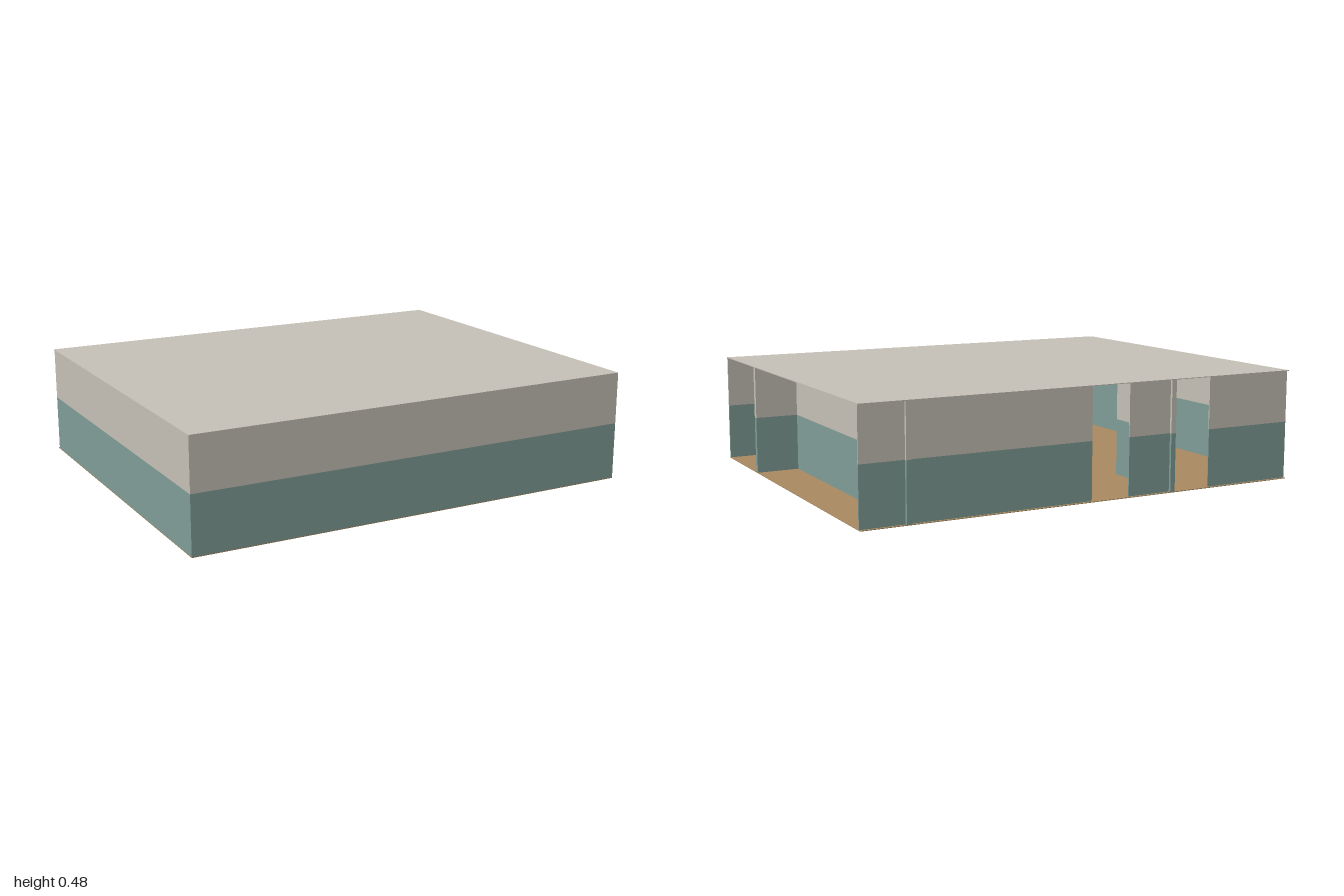
import * as THREE from 'three';

export function createModel() {
  const model = new THREE.Group();
  model.name = 'building';

  const plaster = new THREE.MeshStandardMaterial({ color: 0xc4bfb5 });
  plaster.name = 'plaster';
  const dado = new THREE.MeshStandardMaterial({ color: 0x7f9c96 });
  dado.name = 'tealPaint';
  const timber = new THREE.MeshStandardMaterial({ color: 0xa8895f });
  timber.name = 'floorTan';

  const H = 0.477, SLAB = 0.003, SPLIT = 0.25;

  function box(name, material, x0, x1, y0, y1, z0, z1, parent = model) {
    const mesh = new THREE.Mesh(new THREE.BoxGeometry(x1 - x0, y1 - y0, z1 - z0), material);
    mesh.position.set((x0 + x1) / 2, (y0 + y1) / 2, (z0 + z1) / 2);
    mesh.name = name;
    parent.add(mesh);
  }

  // Two-tone wall: painted lower band, plaster above
  function wall(name, x0, x1, z0, z1) {
    const group = new THREE.Group();
    group.name = name;
    box(name + 'Lower', dado, x0, x1, SLAB, SPLIT, z0, z1, group);
    box(name + 'Upper', plaster, x0, x1, SPLIT, H - SLAB, z0, z1, group);
    model.add(group);
  }

  // Floor and flat roof
  box('floor', timber, -1, 1, 0, SLAB, -0.8, 0.8);
  box('roof', plaster, -1, 1, H - SLAB, H, -0.8, 0.8);

  // Closed outer walls
  wall('frontWall', -1, 1, 0.792, 0.8);
  wall('sideWall', -1, -0.992, -0.789, 0.792);

  // Back wall, slightly set in, with two door openings
  const backRuns = [[-0.992, -0.589], [-0.4, -0.189], [-0.011, 1]];
  for (const [x0, x1] of backRuns) wall('backWall', x0, x1, -0.789, -0.784);

  // Partition along the open side, with two door openings
  const T = 0.011;
  const partitionRuns = [[-0.8, -0.589], [-0.411, 0.611]];
  for (const [z0, z1] of partitionRuns) wall('partition', 0.8 - T, 0.8 + T, z0, z1);

  // Short cross wall dividing the porch
  wall('porchDivider', 0.8 + T, 1, 0.4 - T, 0.4 + T);

  // Wall beside the second back door
  wall('backRoomWall', -0.4 - T, -0.4 + T, -0.8, -0.389);

  return model;
}
